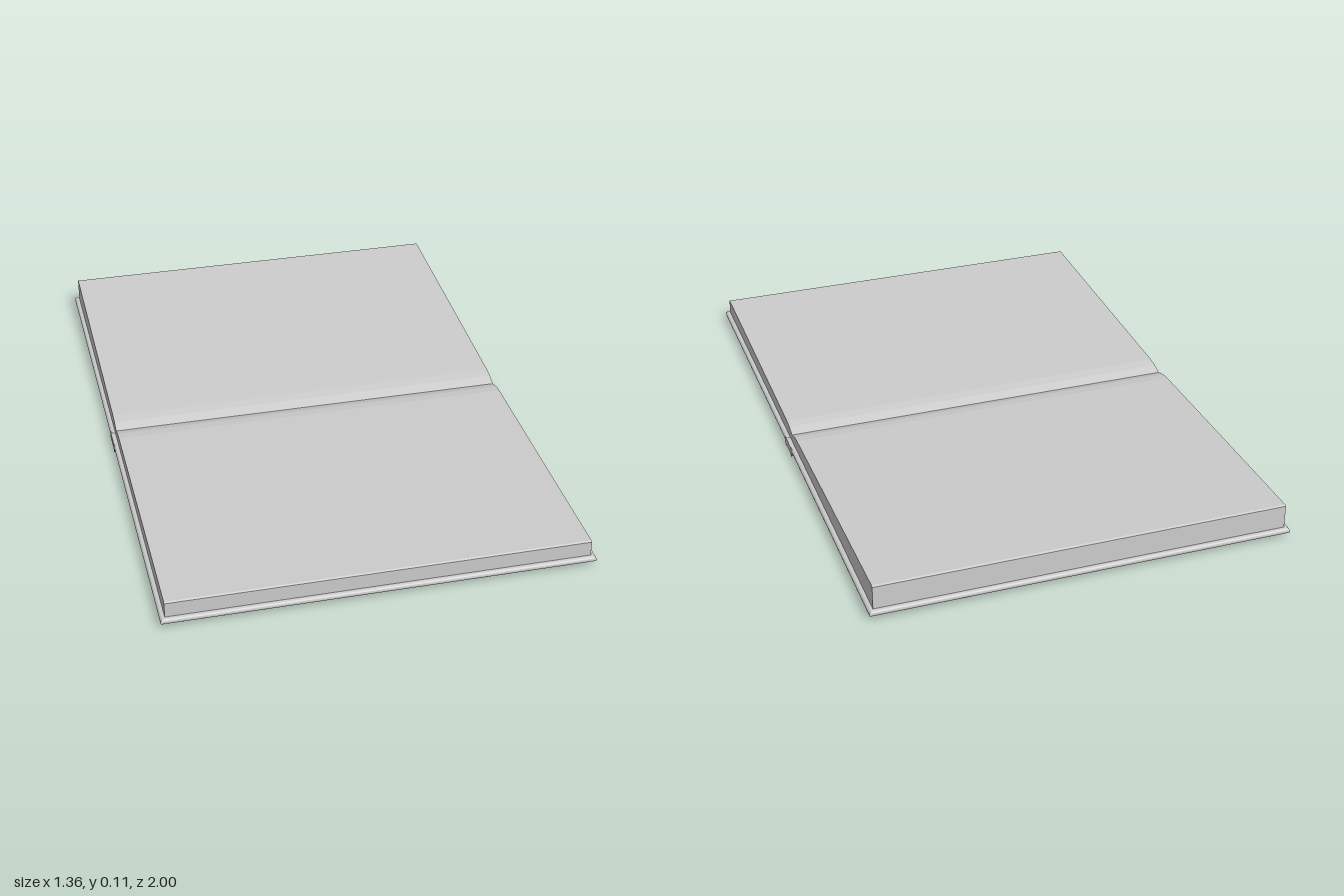
import * as THREE from 'three';

const material = new THREE.MeshStandardMaterial({ color: 0xcccccc, flatShading: true });

// Extrude a (z, y) outline along x, centred on x = 0
function alongX(name, points, width, bevel = 0) {
  const shape = new THREE.Shape(points.map(([z, y]) => new THREE.Vector2(z, y)));
  const geometry = new THREE.ExtrudeGeometry(shape, {
    depth: width - 2 * bevel, bevelEnabled: bevel > 0, bevelThickness: bevel,
    bevelSize: bevel, bevelOffset: -bevel, bevelSegments: 1,
  });
  geometry.translate(0, 0, -width / 2 + bevel);
  geometry.rotateY(-Math.PI / 2);
  const mesh = new THREE.Mesh(geometry, material);
  mesh.name = name;
  return mesh;
}

// Flat cover board with rounded edges
function coverBoard(name, z0, z1) {
  const r = 0.009, w = 0.68;
  const shape = new THREE.Shape([
    new THREE.Vector2(-w, -z1), new THREE.Vector2(w, -z1),
    new THREE.Vector2(w, -z0), new THREE.Vector2(-w, -z0),
  ]);
  const geometry = new THREE.ExtrudeGeometry(shape, {
    depth: 0.001, bevelThickness: r, bevelSize: r, bevelOffset: -r, bevelSegments: 3,
  });
  geometry.rotateX(-Math.PI / 2);
  geometry.translate(0, 0.015 + r, 0);
  const mesh = new THREE.Mesh(geometry, material);
  mesh.name = name;
  return mesh;
}

export function createModel() {
  const group = new THREE.Group();
  group.name = 'openBook';

  // Two cover boards either side of the spine
  group.add(coverBoard('frontCover', 0.03, 1), coverBoard('backCover', -1, -0.03));

  // Folded spine: two hinge ridges hanging below a raised centre strip
  const half = [[0.046, 0.03], [0.05, 0.017], [0.036, 0], [0.022, 0.011], [0.01, 0.007]];
  const spine = [...half.map(([z, y]) => [-z, y]), ...half.slice().reverse()];
  spine.push([0.02, 0.034], [-0.02, 0.034]);
  group.add(alongX('spine', spine, 1.36));

  // Page block: the stack rises away from the gutter, thicker at the back
  group.add(alongX('pages', [
    [-0.985, 0.03], [0.985, 0.03], [0.985, 0.083], [0.979, 0.086],
    [0.5, 0.08], [0.07, 0.075], [0.035, 0.071], [0, 0.06],
    [-0.035, 0.072], [-0.07, 0.077], [-0.5, 0.095],
    [-0.978, 0.114], [-0.985, 0.111],
  ], 1.33));

  return group;
}
